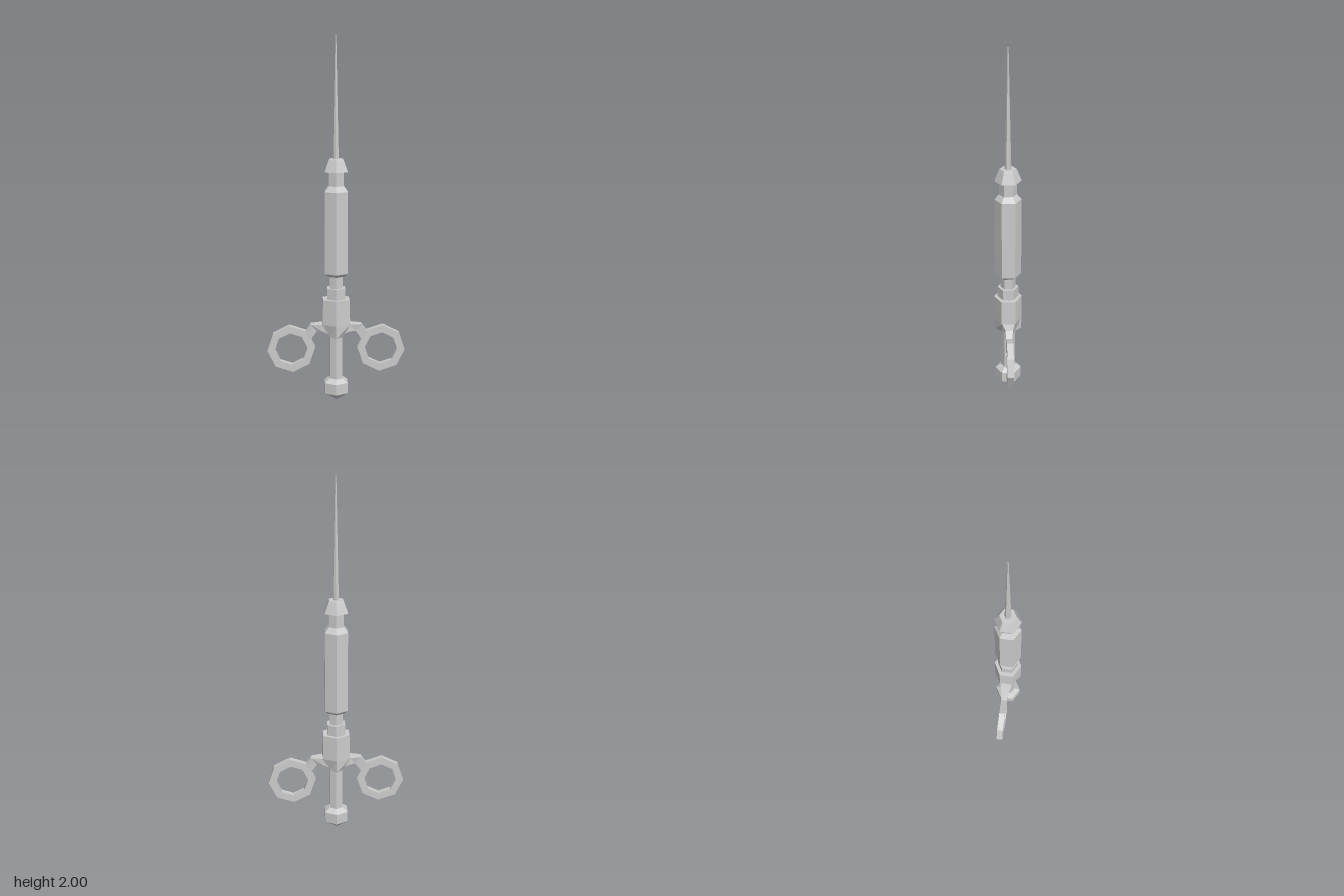
import * as THREE from 'three';

const material = new THREE.MeshStandardMaterial({ color: 0xcccccc, flatShading: true });

function mesh(name, geometry) {
  const m = new THREE.Mesh(geometry, material);
  m.name = name;
  return m;
}

// Skin a list of equal-sized rings (counter-clockwise seen from the far end) and close both ends
function loft(rings) {
  const pos = [];
  const tri = (a, b, c) => pos.push(...a, ...b, ...c);
  const n = rings[0].length;
  for (let i = 0; i + 1 < rings.length; i++) {
    for (let j = 0; j < n; j++) {
      const k = (j + 1) % n;
      const lo = rings[i], hi = rings[i + 1];
      tri(lo[j], lo[k], hi[k]);
      tri(lo[j], hi[k], hi[j]);
    }
  }
  const first = rings[0], last = rings[rings.length - 1];
  for (let j = 1; j + 1 < n; j++) {
    tri(first[0], first[j + 1], first[j]);
    tri(last[0], last[j], last[j + 1]);
  }
  const g = new THREE.BufferGeometry();
  g.setAttribute('position', new THREE.Float32BufferAttribute(pos, 3));
  g.computeVertexNormals();
  return g;
}

// Hexagon with corners on +z and -z, optionally stretched in x
function hexRing([y, r, stretch = 1]) {
  return Array.from({ length: 6 }, (_, i) => {
    const t = (i * Math.PI) / 3;
    return [Math.sin(t) * r * stretch, y, Math.cos(t) * r];
  });
}
const hexPart = (name, profile) => mesh(name, loft(profile.map(hexRing)));

// Octagonal finger ring, flat on front and back
function fingerRing() {
  const outline = (r) => Array.from({ length: 8 }, (_, i) => {
    const a = THREE.MathUtils.degToRad(86 + i * 45);
    return new THREE.Vector2(0.249 + r * Math.cos(a), 0.293 + r * Math.sin(a));
  });
  const shape = new THREE.Shape(outline(0.132));
  shape.holes.push(new THREE.Path(outline(0.09)));
  const g = new THREE.ExtrudeGeometry(shape, { depth: 0.034, bevelEnabled: false });
  g.translate(0, 0, -0.017);
  return mesh('fingerRing', g);
}

// Tapering arm, each section: top x, top y, bottom x, bottom y, half depth
function arm() {
  const sections = [
    [0.045, 0.435, 0.045, 0.385, 0.04],
    [0.075, 0.435, 0.075, 0.395, 0.035],
    [0.14, 0.432, 0.108, 0.395, 0.021],
    [0.172, 0.388, 0.142, 0.345, 0.017],
  ];
  return mesh('arm', loft(sections.map(([tx, ty, bx, by, d]) => [
    [tx, ty, -d], [tx, ty, d], [bx, by, d], [bx, by, -d],
  ])));
}

export function createModel() {
  const group = new THREE.Group();

  // Plunger: wedge-bottomed knob and rod
  group.add(hexPart('plungerKnob', [
    [0, 0.022, 0.1], [0.04, 0.074], [0.1, 0.074], [0.122, 0.044],
  ]));
  group.add(hexPart('plungerRod', [[0.11, 0.041], [0.4, 0.041]]));

  // Grip block with a narrowed underside
  group.add(hexPart('gripBlock', [
    [0.365, 0.074, 0.58], [0.435, 0.077, 1.16], [0.575, 0.077, 1.1],
  ]));
  group.add(hexPart('collar', [[0.565, 0.058], [0.636, 0.058]]));
  group.add(hexPart('lowerNeck', [[0.62, 0.042], [0.71, 0.042]]));

  // Barrel with sloped shoulders
  group.add(hexPart('barrel', [
    [0.702, 0.05], [0.72, 0.073], [1.17, 0.073], [1.2, 0.048], [1.285, 0.048],
  ]));
  group.add(hexPart('barrelCap', [[1.277, 0.073], [1.335, 0.05], [1.346, 0.045]]));
  group.add(hexPart('needle', [[1.33, 0.018], [2, 0.003]]));

  // Left and right finger grips
  for (const [name, turn] of [['leftGrip', 0], ['rightGrip', Math.PI]]) {
    const grip = new THREE.Group();
    grip.name = name;
    grip.add(arm(), fingerRing());
    grip.rotation.y = turn;
    group.add(grip);
  }
  return group;
}
